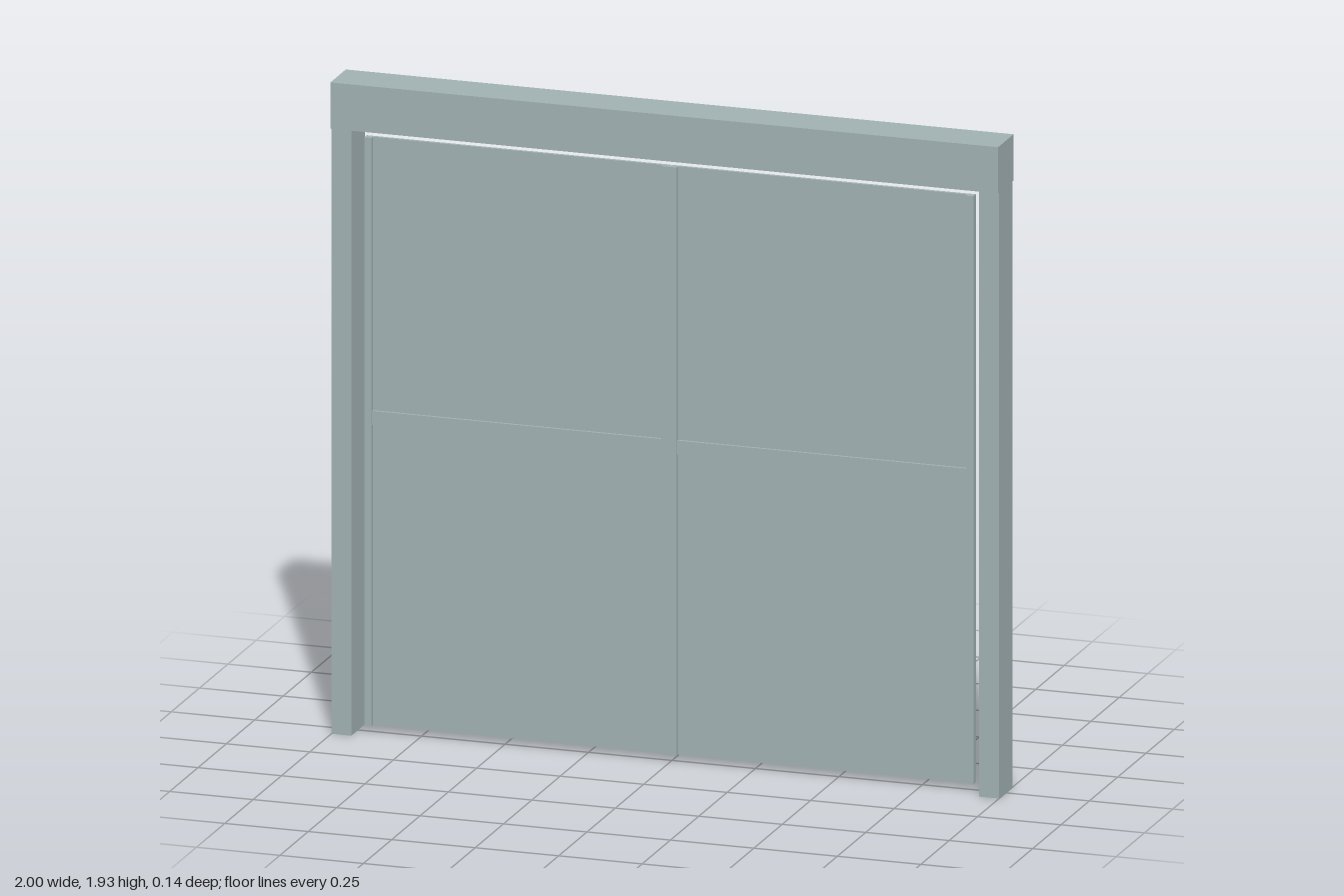
import * as THREE from 'three';

export function createModel() {
  const model = new THREE.Group();
  model.name = 'doubleDoor';

  const paint = new THREE.MeshStandardMaterial({ color: 0xa0b0b1 });
  paint.name = 'greyGreenPaint';

  // Box given by its minimum and maximum corners
  function block(name, [x0, y0, z0], [x1, y1, z1], parent = model) {
    const mesh = new THREE.Mesh(new THREE.BoxGeometry(x1 - x0, y1 - y0, z1 - z0), paint);
    mesh.position.set((x0 + x1) / 2, (y0 + y1) / 2, (z0 + z1) / 2);
    mesh.name = name;
    parent.add(mesh);
  }

  // Fixed frame: header beam resting on two posts
  block('header', [-1, 1.793, -0.068], [1, 1.93, 0.068]);
  block('rightPost', [-1, 0, -0.06], [-0.94, 1.793, 0.06]);
  block('leftPost', [0.94, 0, -0.06], [1, 1.793, 0.06]);

  // Two thin leaves, each with an outer stile and a middle rail on the front
  const bottom = 0.022, top = 1.763, back = 0, face = 0.01, trim = 0.022;
  for (const side of [-1, 1]) {
    const leaf = new THREE.Group();
    leaf.name = side < 0 ? 'rightLeaf' : 'leftLeaf';
    leaf.position.x = -0.002;
    const span = (name, a, b, y0, y1, z0, z1) =>
      block(name, [Math.min(side * a, side * b), y0, z0], [Math.max(side * a, side * b), y1, z1], leaf);
    span('panel', 0.002, 0.912, bottom, top, back, face);
    span('outerStile', 0.89, 0.912, bottom, top, face, trim);
    span('middleRail', 0.023, 0.89, 0.912, 0.954, face, trim - 0.004);
    model.add(leaf);
  }

  // Cover strip over the joint between the leaves
  block('centreStrip', [-0.025, bottom, face], [0.021, top, trim]);

  return model;
}
